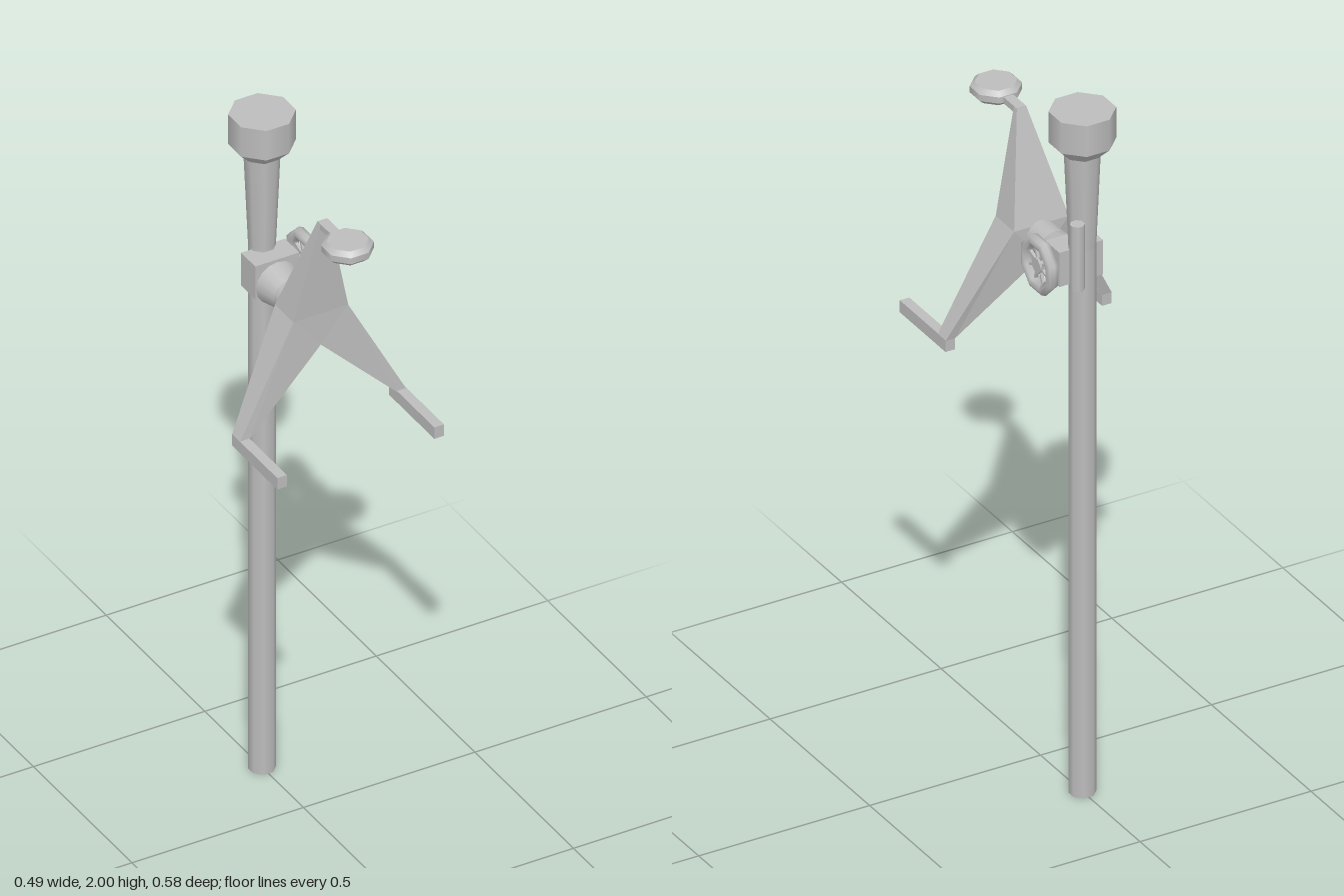
import * as THREE from 'three';

const steel = new THREE.MeshStandardMaterial({ color: 0xbcbcbc });
steel.name = 'grey steel';

export function createModel() {
  const model = new THREE.Group();
  const add = (name, geometry, x = 0, y = 0, z = 0, parent = model) => {
    const mesh = new THREE.Mesh(geometry, steel);
    mesh.name = name;
    mesh.position.set(x, y, z);
    parent.add(mesh);
    return mesh;
  };
  // octagonal cylinder with flats on the axes; sizes are across the flats
  const octagon = (top, bottom, height) => {
    const k = 1 / Math.cos(Math.PI / 8);
    return new THREE.CylinderGeometry(top * k, bottom * k, height, 8, 1, false, Math.PI / 8);
  };
  const POLE_Z = -0.21;

  // pole, its flared neck and the cap
  add('pole', octagon(0.033, 0.033, 1.6), 0, 0.8, POLE_Z);
  add('poleNeck', octagon(0.044, 0.033, 0.28), 0, 1.74, POLE_Z);
  add('capCollar', octagon(0.08, 0.047, 0.035), 0, 1.8925, POLE_Z);
  add('cap', octagon(0.08, 0.08, 0.09), 0, 1.955, POLE_Z);
  add('lockingPin', octagon(0.018, 0.018, 0.19), 0.042, 1.605, -0.257);

  // tube joining the holder to the pole
  add('jointTube', new THREE.CylinderGeometry(0.046, 0.046, 0.07, 16), 0, 1.525, -0.037).rotation.x = Math.PI / 2;
  add('jointFlare', new THREE.CylinderGeometry(0.046, 0.062, 0.063, 16), 0, 1.525, -0.1015).rotation.x = Math.PI / 2;
  add('poleClamp', new THREE.BoxGeometry(0.128, 0.1, 0.072), 0, 1.545, -0.169);

  // hand wheel on the side
  const wheel = new THREE.Group();
  wheel.name = 'handWheel';
  wheel.position.set(0.098, 1.55, -0.163);
  wheel.rotation.y = Math.PI / 2;
  model.add(wheel);
  add('wheelRim', new THREE.TorusGeometry(0.066, 0.017, 8, 8), 0, 0, 0, wheel).rotation.z = Math.PI / 8;
  add('wheelHub', octagon(0.02, 0.02, 0.02), 0, 0, 0, wheel).rotation.x = Math.PI / 2;
  add('wheelAxle', octagon(0.012, 0.012, 0.09), 0, 0, -0.045, wheel).rotation.x = Math.PI / 2;
  for (let i = 0; i < 8; i++) {
    const a = (i + 0.5) * Math.PI / 4;
    const spoke = add('wheelSpoke', new THREE.BoxGeometry(0.045, 0.007, 0.008),
      Math.cos(a) * 0.036, Math.sin(a) * 0.036, 0, wheel);
    spoke.rotation.z = a;
  }

  // three-armed holder: each outline point is x, y, front z, back z
  const half = [
    [-0.014, 1.85, 0.11, 0.095], [-0.08, 1.56, 0.088, -0.005],
    [-0.243, 1.255, 0.1, 0.06], [-0.215, 1.255, 0.1, 0.06],
  ];
  const outline = [...half, [0, 1.465, 0.088, -0.005],
    ...half.slice().reverse().map(([x, ...rest]) => [-x, ...rest])];
  const front = ([x, y, z]) => [x, y, z];
  const back = ([x, y, , z]) => [x, y, z];
  const faces = [[0, 1, 7], [0, 7, 8], [1, 4, 7], [1, 2, 3], [1, 3, 4], [7, 4, 5], [7, 5, 6]];
  const corners = [];
  for (const [a, b, c] of faces) {
    corners.push(front(outline[a]), front(outline[b]), front(outline[c]));
    corners.push(back(outline[a]), back(outline[c]), back(outline[b]));
  }
  outline.forEach((p, i) => {
    const q = outline[(i + 1) % outline.length];
    corners.push(front(p), back(p), back(q), front(p), back(q), front(q));
  });
  const star = new THREE.BufferGeometry();
  star.setAttribute('position', new THREE.Float32BufferAttribute(corners.flat(), 3));
  star.computeVertexNormals();
  add('threeArmHolder', star);

  // lower pegs
  for (const side of [-1, 1]) {
    add('lowerPeg', new THREE.BoxGeometry(0.028, 0.035, 0.23), side * 0.229, 1.2405, 0.175);
  }

  // upper strut and pad
  add('upperStrut', new THREE.BoxGeometry(0.028, 0.018, 0.075), 0, 1.842, 0.133);
  add('padTop', octagon(0.05, 0.062, 0.012), 0, 1.859, 0.224);
  add('padSide', octagon(0.062, 0.062, 0.018), 0, 1.844, 0.224);
  add('padBase', octagon(0.062, 0.05, 0.012), 0, 1.829, 0.224);

  return model;
}
